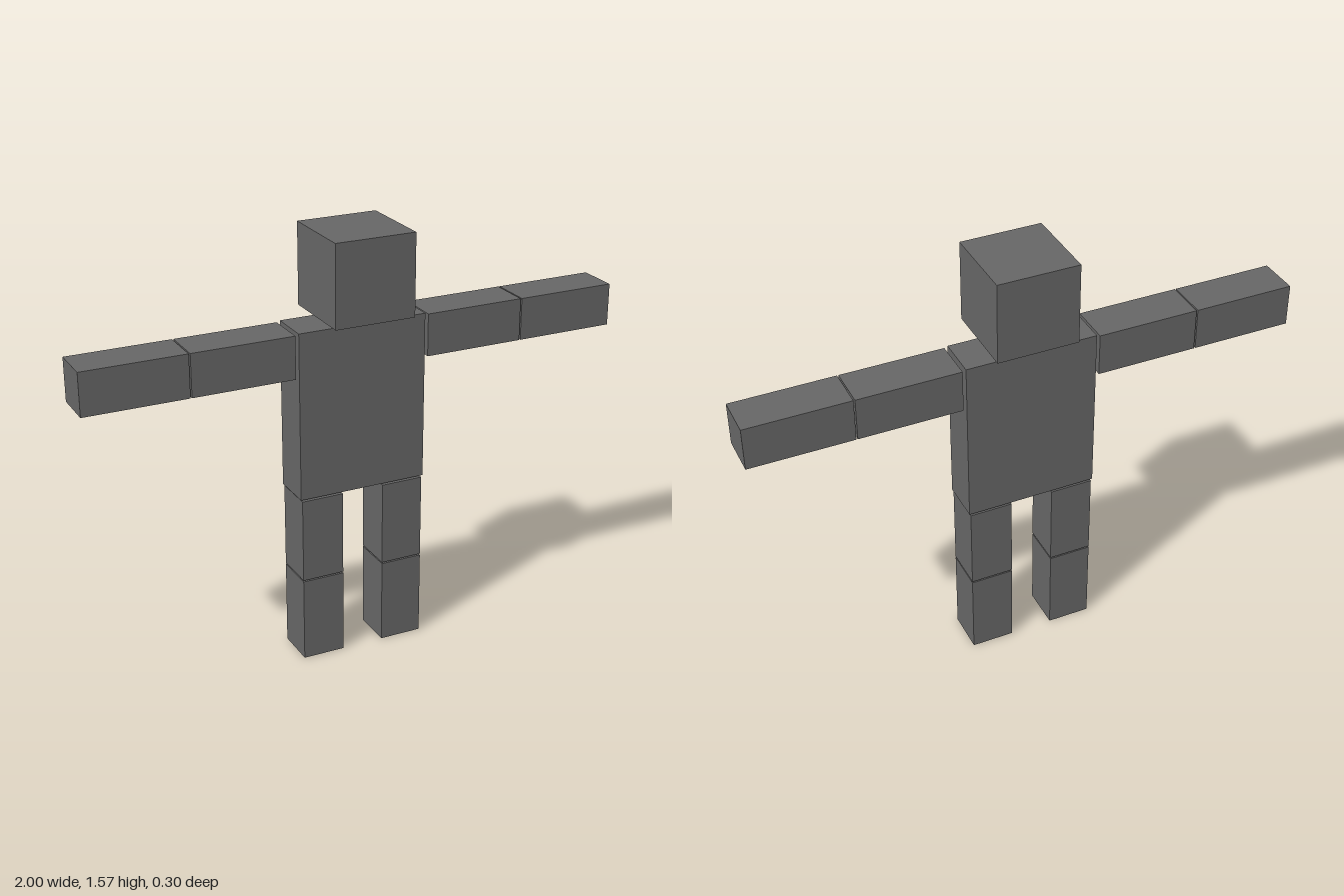
import * as THREE from 'three';

export function createModel() {
  const model = new THREE.Group();
  model.name = 'blockFigure';
  const grey = new THREE.MeshStandardMaterial({ color: 0x666666 });
  grey.name = 'grey';

  // Box given by its extents along each axis
  function box(name, [x0, x1], [y0, y1], [z0, z1]) {
    const mesh = new THREE.Mesh(new THREE.BoxGeometry(x1 - x0, y1 - y0, z1 - z0), grey);
    mesh.position.set((x0 + x1) / 2, (y0 + y1) / 2, (z0 + z1) / 2);
    mesh.name = name;
    model.add(mesh);
  }

  const depth = [-0.1, 0.054]; // shared by torso and limbs

  box('head', [-0.148, 0.148], [1.272, 1.568], [-0.148, 0.148]);
  box('torso', [-0.239, 0.239], [0.632, 1.244], depth);

  // Mirrored arms and legs, two segments each
  for (const [side, s] of [['left', 1], ['right', -1]]) {
    const span = (a, b) => (s > 0 ? [a, b] : [-b, -a]);
    box(side + 'UpperArm', span(0.251, 0.623), [1.084, 1.239], depth);
    box(side + 'Forearm', span(0.628, 1), [1.084, 1.239], depth);
    box(side + 'Thigh', span(0.078, 0.234), [0.316, 0.625], depth);
    box(side + 'Shin', span(0.078, 0.234), [0, 0.311], depth);
  }
  return model;
}
